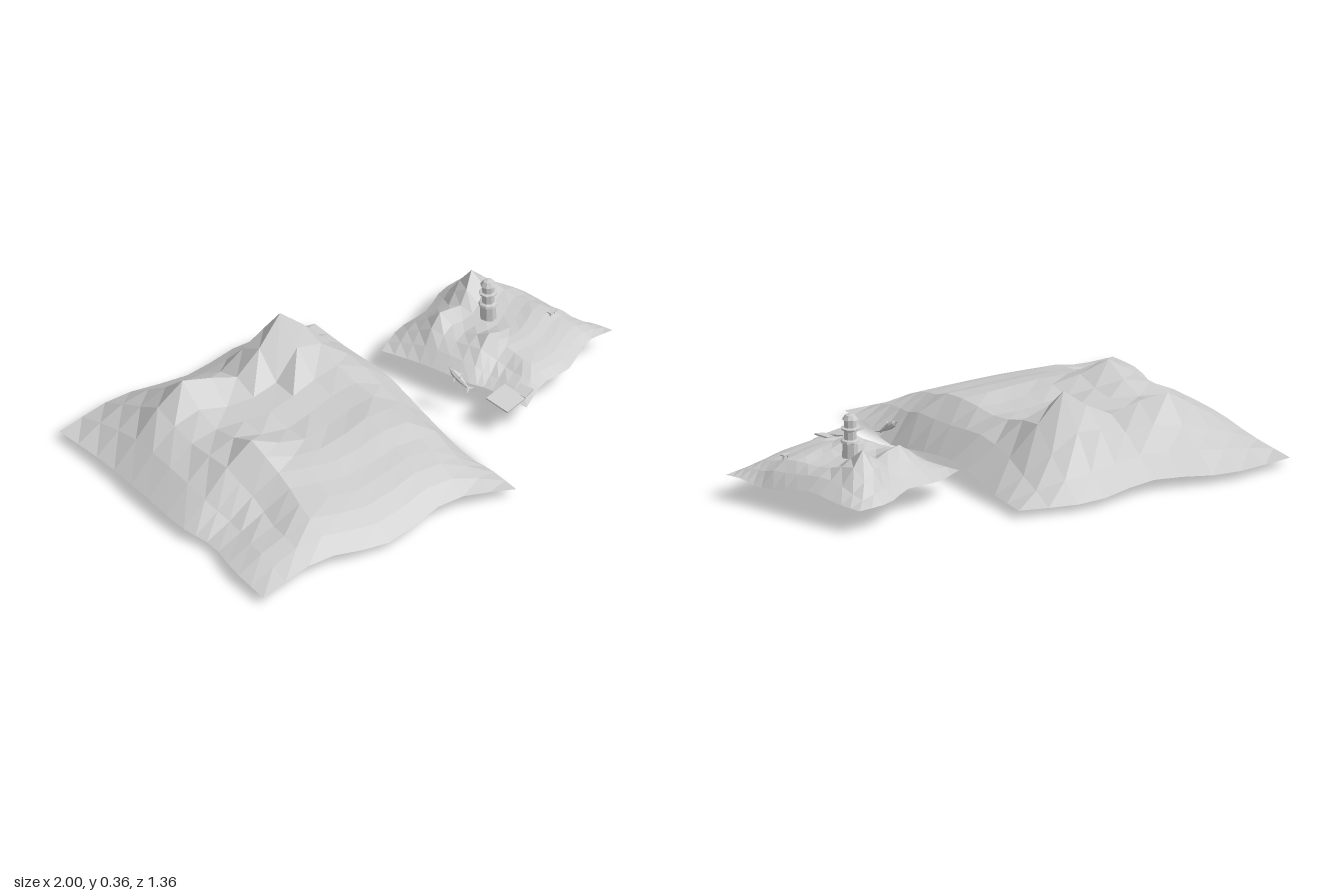
import * as THREE from 'three';

const mat = new THREE.MeshStandardMaterial({ color: 0xcccccc, flatShading: true, side: THREE.DoubleSide });
const mesh = (geo, name, parent, x = 0, y = 0, z = 0) => {
  const m = new THREE.Mesh(geo, mat);
  m.name = name;
  m.position.set(x, y, z);
  parent.add(m);
  return m;
};
const curve = (pts) => new THREE.CatmullRomCurve3(pts.map((p) => new THREE.Vector3(...p)));

// Shoreline edges, listed from left to right or from back to front
const back = curve([[-1, 0.03, -0.58], [-0.71, 0.035, -0.645], [-0.43, 0.045, -0.61], [-0.14, 0.03, -0.685], [0.14, 0.03, -0.65]]);
const front = curve([[-0.91, 0.03, 0.68], [-0.62, 0.045, 0.61], [-0.34, 0.03, 0.635], [-0.03, 0.055, 0.56], [0.225, 0.03, 0.6]]);
const left = curve([[-1, 0.03, -0.58], [-0.97, 0.04, -0.33], [-0.96, 0.05, -0.07], [-0.94, 0.04, 0.18], [-0.9, 0.03, 0.3], [-0.92, 0.04, 0.5], [-0.91, 0.03, 0.68]]);
const right = curve([[0.14, 0.03, -0.65], [0.155, 0.04, -0.45], [0.165, 0.075, -0.2], [0.18, 0.04, 0.05], [0.205, 0, 0.3], [0.21, 0.03, 0.45], [0.225, 0.03, 0.6]]);

// Hills and hollows: x, z, radius in x, radius in z, height, steepness of the rim
const bumps = [
  [-0.18, -0.4, 0.18, 0.19, 0.155, 1],
  [-0.6, -0.34, 0.22, 0.13, 0.06, 1],
  [-0.4, -0.38, 0.5, 0.1, 0.01, 2],
  [-0.6, 0.08, 0.17, 0.15, 0.065, 1],
  [-0.02, 0.18, 0.16, 0.14, 0.015, 1],
  [-0.36, -0.1, 0.44, 0.25, -0.04, 2.5],
  [-0.74, 0.32, 0.2, 0.24, -0.045, 1.5],
  [0.1, 0.24, 0.12, 0.14, 0.02, 1],
];

const rise = (d, width) => Math.pow(Math.min(1, d / width), 0.8);

// Land sheet blended from the four shorelines, raised to a plateau with hills
function landGeometry(nu = 10, nv = 14) {
  const pos = [], idx = [];
  const c = [back.getPoint(0), back.getPoint(1), front.getPoint(0), front.getPoint(1)];
  for (let j = 0; j <= nv; j++) {
    for (let i = 0; i <= nu; i++) {
      const u = i / nu, v = j / nv;
      const p = new THREE.Vector3()
        .addScaledVector(back.getPoint(u), 1 - v).addScaledVector(front.getPoint(u), v)
        .addScaledVector(left.getPoint(v), 1 - u).addScaledVector(right.getPoint(v), u)
        .addScaledVector(c[0], -(1 - u) * (1 - v)).addScaledVector(c[1], -u * (1 - v))
        .addScaledVector(c[2], -(1 - u) * v).addScaledVector(c[3], -u * v);
      const plateau = rise(u, 0.27) * rise(1 - u, 0.21) * rise(v, 0.22) * rise(1 - v, 0.36);
      p.y += 0.155 * plateau;
      // Hills fade out toward the shore so the edges keep their line
      const inland = Math.min(1, 2 * plateau);
      for (const [x, z, rx, rz, h, k] of bumps) {
        const t = Math.max(0, 1 - Math.hypot((p.x - x) / rx, (p.z - z) / rz));
        p.y += inland * h * Math.min(1, k * t);
      }
      pos.push(p.x, p.y, p.z);
      if (i < nu && j < nv) {
        const a = j * (nu + 1) + i, b = a + nu + 1;
        idx.push(a, b, a + 1, a + 1, b, b + 1);
      }
    }
  }
  const g = new THREE.BufferGeometry();
  g.setAttribute('position', new THREE.Float32BufferAttribute(pos, 3));
  g.setIndex(idx);
  g.computeVertexNormals();
  return g;
}

// Stepped watchtower with two ledges, a lantern room and a low roof
function addTower(parent) {
  const profile = [
    [0, 0.14], [0.032, 0.14], [0.029, 0.222], [0.037, 0.226], [0.034, 0.234], [0.024, 0.238],
    [0.024, 0.27], [0.035, 0.276], [0.035, 0.281], [0.024, 0.284], [0.024, 0.31],
    [0.03, 0.313], [0.018, 0.33], [0, 0.335],
  ].map(([r, y]) => new THREE.Vector2(r, y));
  mesh(new THREE.LatheGeometry(profile, 8), 'tower', parent, 0.6, 0, -0.195);
}

// Leaping sea animal, built along +y and then aimed from tail to nose
function addDolphin(parent) {
  const g = new THREE.Group();
  g.name = 'dolphin';
  const profile = [[0, -0.05], [0.004, -0.045], [0.01, -0.015], [0.014, 0.012], [0.011, 0.032], [0.004, 0.042], [0, 0.055]]
    .map(([r, y]) => new THREE.Vector2(r, y));
  mesh(new THREE.LatheGeometry(profile, 7), 'body', g);
  const fin = (name, x, y, z, rz, rx) => {
    const f = mesh(new THREE.ConeGeometry(0.007, 0.024, 4), name, g, x, y, z);
    f.scale.z = 0.4;
    f.rotation.set(rx, 0, rz);
  };
  for (const s of [-1, 1]) {
    fin('flipper', s * 0.016, 0.008, 0, s * -2.1, 0);
    fin('tailFluke', s * 0.009, -0.055, 0, s * -2.2, 0);
  }
  fin('backFin', 0, 0, 0.016, 0, 2);
  const axis = new THREE.Vector3(-0.035, 0.06, -0.08).normalize();
  g.quaternion.setFromUnitVectors(new THREE.Vector3(0, 1, 0), axis);
  g.position.set(0.317, 0.157, 0.058);
  parent.add(g);
}

// Tilted landing stage at the near corner of the small island
function addDock(parent) {
  const g = new THREE.Group();
  g.name = 'dock';
  mesh(new THREE.BoxGeometry(0.11, 0.006, 0.1), 'platform', g).rotation.x = 0.2;
  mesh(new THREE.BoxGeometry(0.05, 0.006, 0.06), 'ramp', g, 0.075, 0, 0.02).rotation.z = 0.2;
  g.position.set(0.43, 0.11, 0.2);
  g.rotation.y = 0.36;
  parent.add(g);
}

// Tiny open shelter on the slope
function addShelter(parent) {
  const g = new THREE.Group();
  g.name = 'shelter';
  for (const x of [-0.012, 0.012]) mesh(new THREE.BoxGeometry(0.004, 0.04, 0.004), 'post', g, x, 0.155, 0);
  mesh(new THREE.BoxGeometry(0.036, 0.004, 0.02), 'roof', g, 0, 0.176, 0);
  g.position.set(0.81, 0, -0.09);
  g.rotation.y = 0.36;
  parent.add(g);
}

export function createModel() {
  const model = new THREE.Group();
  model.name = 'islands';
  const land = landGeometry();
  mesh(land, 'largeIsland', model);
  // The small island is a turned, half-size repeat of the large one
  const small = mesh(land, 'smallIsland', model, 0.785, 0.075, -0.215);
  small.scale.setScalar(0.5);
  small.rotation.y = 0.36;
  addTower(model);
  addDolphin(model);
  addDock(model);
  addShelter(model);
  return model;
}
